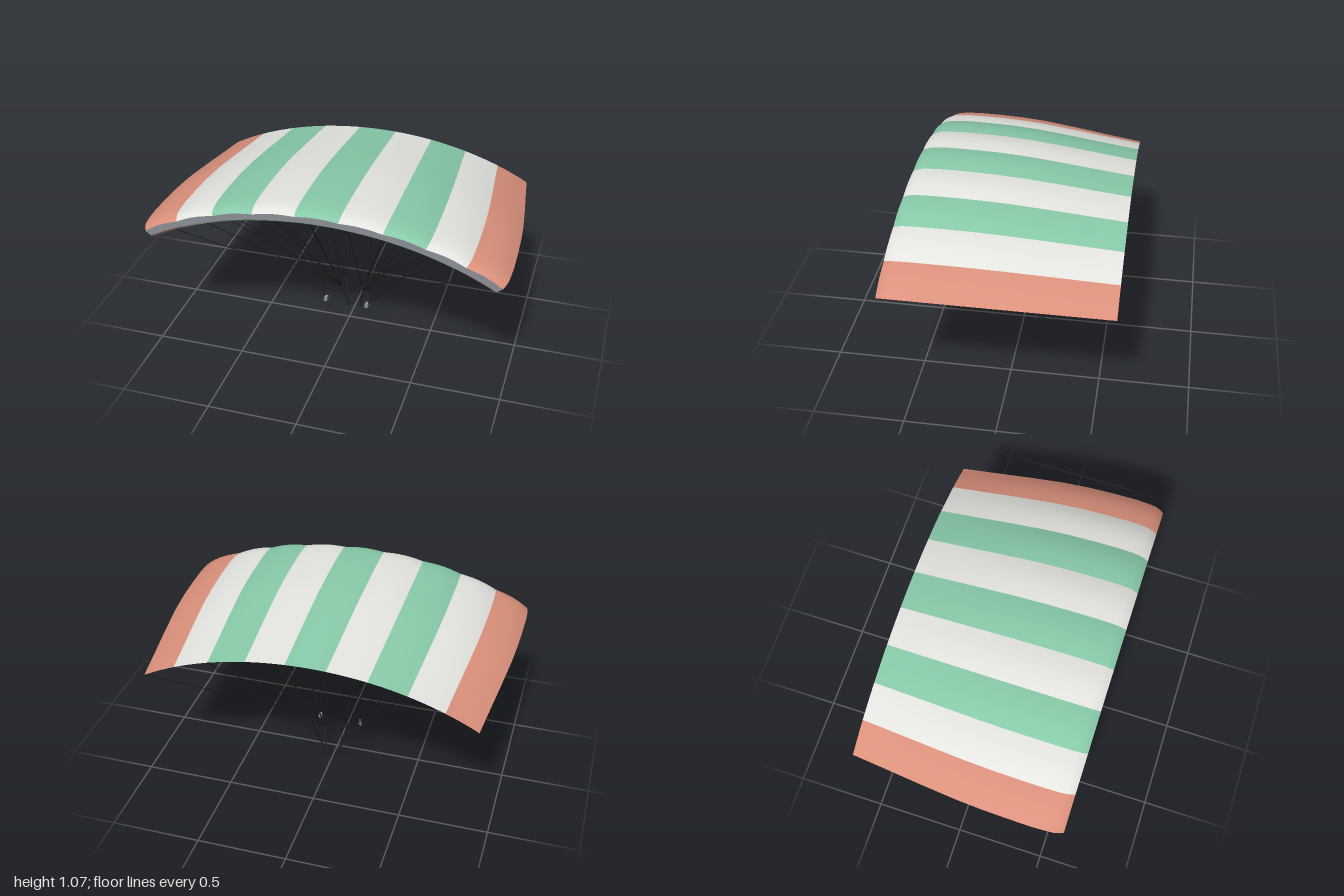
import * as THREE from 'three';

const mat = (name, color) => Object.assign(new THREE.MeshStandardMaterial({ color }), { name });

const CELLS = 9, STEP = Math.PI / 20; // nine cells of nine degrees
const HALF = CELLS * STEP / 2;

// Aerofoil as [z, height factor], nose to trailing edge
const UPPER = [[0.6, 0.68], [0.58, 0.81], [0.55, 0.92], [0.5, 0.97], [0.43, 1], [0.3, 0.98],
  [0.15, 0.92], [0, 0.8], [-0.2, 0.55], [-0.4, 0.27], [-0.6, 0]];
const LOWER = [[0.6, 0.3], [0.58, 0.14], [0.5, 0.07], [0.4, 0.04], [0.2, 0], [0, 0], [-0.2, 0], [-0.4, 0], [-0.6, 0]];

// Point on the arched wing: angle across the span, z along the chord, f through the thickness
const wingPoint = (a, z, f) =>
  new THREE.Vector3((1.41 + 0.139 * f) * Math.sin(a), 0.042 + (0.93 + 0.093 * f) * Math.cos(a), z);

// Fabric bulges between ribs; t runs 0..1 across a cell
const upperF = (f, t) => f * (0.93 + 0.1 * Math.sin(Math.PI * t));
const lowerF = (f, z, t) => f - 0.08 * Math.sin(Math.PI * t) * Math.sin(Math.PI * (z + 0.6) / 1.2);

function heightAt(profile, z) {
  for (let i = 1; i < profile.length; i++) {
    const [z0, f0] = profile[i - 1], [z1, f1] = profile[i];
    if (z >= z1) return f0 + (f1 - f0) * (z0 - z) / (z0 - z1);
  }
  return 0;
}

// Grid surface from a point function
function sheet(nu, nv, point) {
  const pos = [], idx = [];
  for (let i = 0; i <= nu; i++) for (let j = 0; j <= nv; j++) pos.push(...point(i, j).toArray());
  for (let i = 0; i < nu; i++) for (let j = 0; j < nv; j++) {
    const a = i * (nv + 1) + j, b = a + nv + 1;
    idx.push(a, b, a + 1, b, b + 1, a + 1);
  }
  const g = new THREE.BufferGeometry();
  g.setAttribute('position', new THREE.Float32BufferAttribute(pos, 3));
  g.setIndex(idx);
  g.computeVertexNormals();
  return g;
}

function rod(p, q, r, sides) {
  const d = q.clone().sub(p);
  const g = new THREE.CylinderGeometry(r, r, d.length(), sides);
  g.applyQuaternion(new THREE.Quaternion().setFromUnitVectors(new THREE.Vector3(0, 1, 0), d.clone().normalize()));
  const m = p.clone().add(q).multiplyScalar(0.5);
  return g.translate(m.x, m.y, m.z);
}

export function createModel() {
  const model = new THREE.Group();
  model.name = 'paraglider';
  const white = mat('white fabric', 0xe4e4e0), green = mat('green fabric', 0x88caa8);
  const coral = mat('coral fabric', 0xdb917c), grey = mat('grey intake', 0x8a8e94);
  const black = mat('black line', 0x181a1c), webbing = mat('dark webbing', 0x23282d);

  const add = (parent, name, geometry, material) => {
    const m = new THREE.Mesh(geometry, material);
    m.name = name;
    parent.add(m);
    return m;
  };

  // Canopy cells
  const canopy = new THREE.Group();
  canopy.name = 'canopy';
  model.add(canopy);
  const N = 8, under = [...LOWER].reverse();
  for (let c = 0; c < CELLS; c++) {
    const k = Math.abs(c - 4);
    const fabric = k === 4 ? coral : k % 2 ? white : green;
    const angle = i => -HALF + (c + i / N) * STEP;
    add(canopy, 'upperSkin', sheet(N, UPPER.length - 1, (i, j) =>
      wingPoint(angle(i), UPPER[j][0], upperF(UPPER[j][1], i / N))), fabric);
    add(canopy, 'lowerSkin', sheet(N, under.length - 1, (i, j) =>
      wingPoint(angle(i), under[j][0], lowerF(under[j][1], under[j][0], i / N))), fabric);
    add(canopy, 'airIntake', sheet(N, 1, (i, j) =>
      wingPoint(angle(i), 0.6, j ? upperF(0.68, i / N) : lowerF(0.3, 0.6, i / N))), grey);
  }

  // Closed wing tips
  const zs = [...new Set([...UPPER, ...LOWER].map(p => p[0]))].sort((a, b) => b - a);
  for (const side of [1, -1]) {
    const order = side > 0 ? zs : [...zs].reverse();
    add(canopy, side > 0 ? 'leftTip' : 'rightTip', sheet(order.length - 1, 1, (i, j) => {
      const z = order[i];
      return wingPoint(side * HALF, z, j ? upperF(heightAt(UPPER, z), 0) : heightAt(LOWER, z));
    }), coral);
  }

  // Risers, suspension lines and brakes on each side
  for (const side of [1, -1]) {
    const rig = new THREE.Group();
    rig.name = side > 0 ? 'leftRigging' : 'rightRigging';
    model.add(rig);
    const at = (x, y, z) => new THREE.Vector3(side * x, y, z);
    const base = at(0.035, 0.002, -0.11);
    const front = at(0.066, 0.168, -0.06), rear = at(0.066, 0.168, -0.155);
    add(rig, 'frontRiser', rod(base, front, 0.005, 6), webbing);
    add(rig, 'rearRiser', rod(base, rear, 0.005, 6), webbing);

    for (let r = 0; r < 5; r++) {
      const a = side * (r + 0.5) * STEP;
      for (const [z, from] of [[0.46, front], [0.12, front], [-0.24, rear]]) {
        add(rig, 'suspensionLine', rod(from, wingPoint(a, z, heightAt(LOWER, z)), 0.0022, 5), black);
      }
    }

    const hand = at(0.125, 0.155, 0.065);
    add(rig, 'brakeHandle', new THREE.BoxGeometry(0.018, 0.025, 0.03).translate(hand.x, hand.y, hand.z), grey);
    for (const r of [2, 4]) {
      add(rig, 'brakeLine', rod(hand, wingPoint(side * (r + 0.5) * STEP, -0.598, 0), 0.0022, 5), black);
    }
  }
  return model;
}
